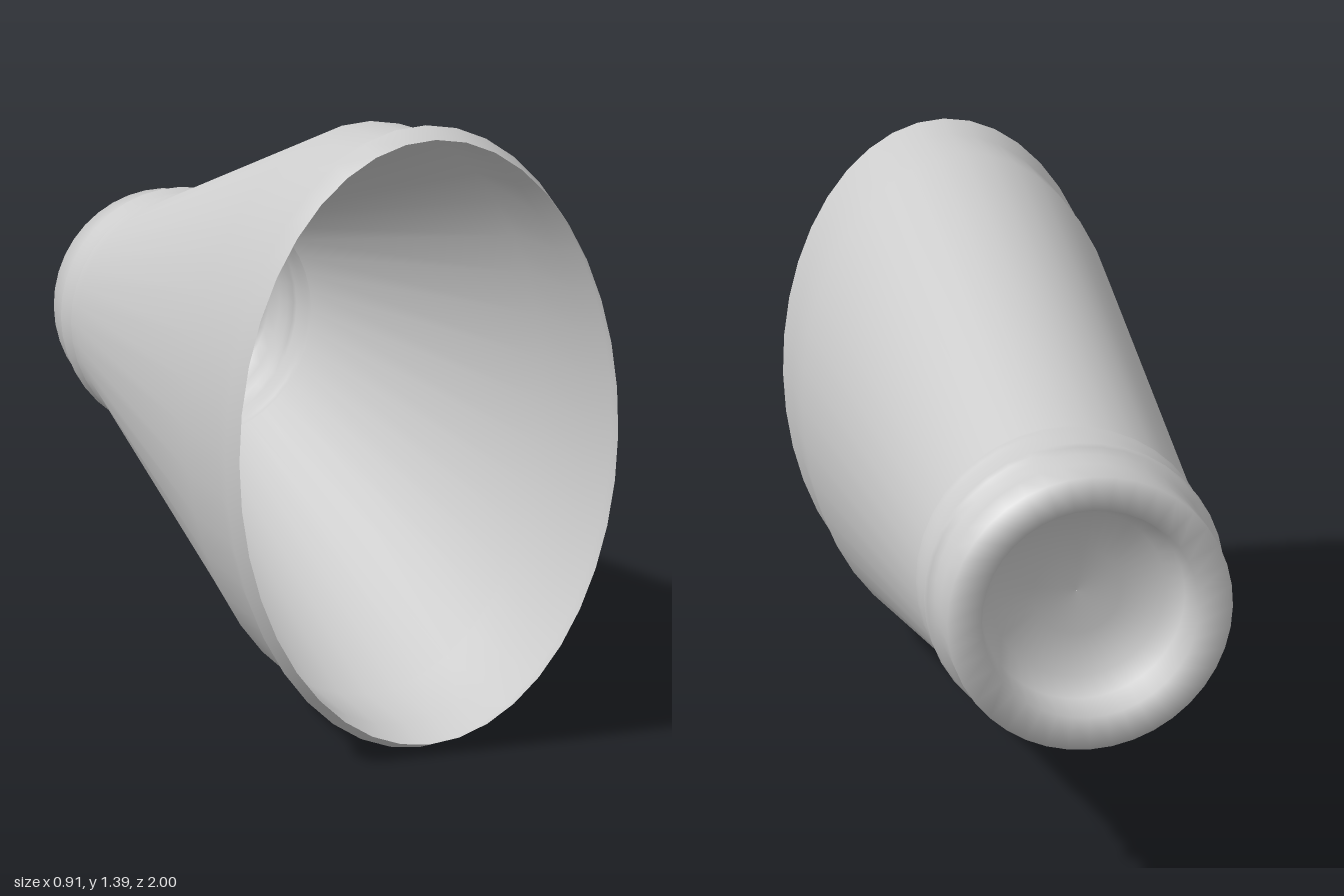
import * as THREE from 'three';
import { mergeVertices } from 'three/addons/utils/BufferGeometryUtils.js';

const SEGMENTS = 40;
const CENTRE_Y = 0.695;

// Cross-sections from back to front: [z, half width, half height]
const cup = [
  [-0.845, 0.001, 0.001], [-0.85, 0.1, 0.1], [-0.87, 0.195, 0.195],
  [-0.92, 0.228, 0.228], [-1, 0.24, 0.24],
];
const collar = [
  [-1, 0.316, 0.316], [-0.91, 0.316, 0.316], [-0.855, 0.32, 0.32],
  [-0.85, 0.335, 0.335], [-0.835, 0.34, 0.34], [-0.81, 0.33, 0.33],
  [-0.76, 0.331, 0.331], [-0.74, 0.338, 0.338], [-0.725, 0.341, 0.341],
  [-0.7, 0.334, 0.336],
];
const horn = [
  [0.61, 0.439, 0.67], [0.85, 0.439, 0.67],
  [0.94, 0.454, 0.695], [1, 0.442, 0.67],
];

// Lathe the sections about z, then stretch each ring to its own ellipse
function ellipticalLathe(sections) {
  const lathe = new THREE.LatheGeometry(
    sections.map(([z, rx]) => new THREE.Vector2(rx, z)), SEGMENTS);
  lathe.rotateX(Math.PI / 2);
  const pos = lathe.attributes.position;
  for (let i = 0; i < pos.count; i++) {
    const [, rx, ry] = sections[i % sections.length];
    pos.setY(i, pos.getY(i) * ry / rx);
  }
  // Weld the seam so the whole shell shades smoothly
  lathe.deleteAttribute('uv');
  lathe.deleteAttribute('normal');
  const welded = mergeVertices(lathe, 1e-5);
  welded.computeVertexNormals();
  return welded;
}

export function createModel() {
  const group = new THREE.Group();
  group.name = 'flaredHorn';
  const material = new THREE.MeshStandardMaterial({ color: 0xcccccc, side: THREE.DoubleSide });

  // One thin skin: recessed back cup, ribbed collar and oval horn with open mouth
  const shell = new THREE.Mesh(ellipticalLathe([...cup, ...collar, ...horn]), material);
  shell.name = 'hornShell';
  shell.position.y = CENTRE_Y;
  group.add(shell);
  return group;
}
